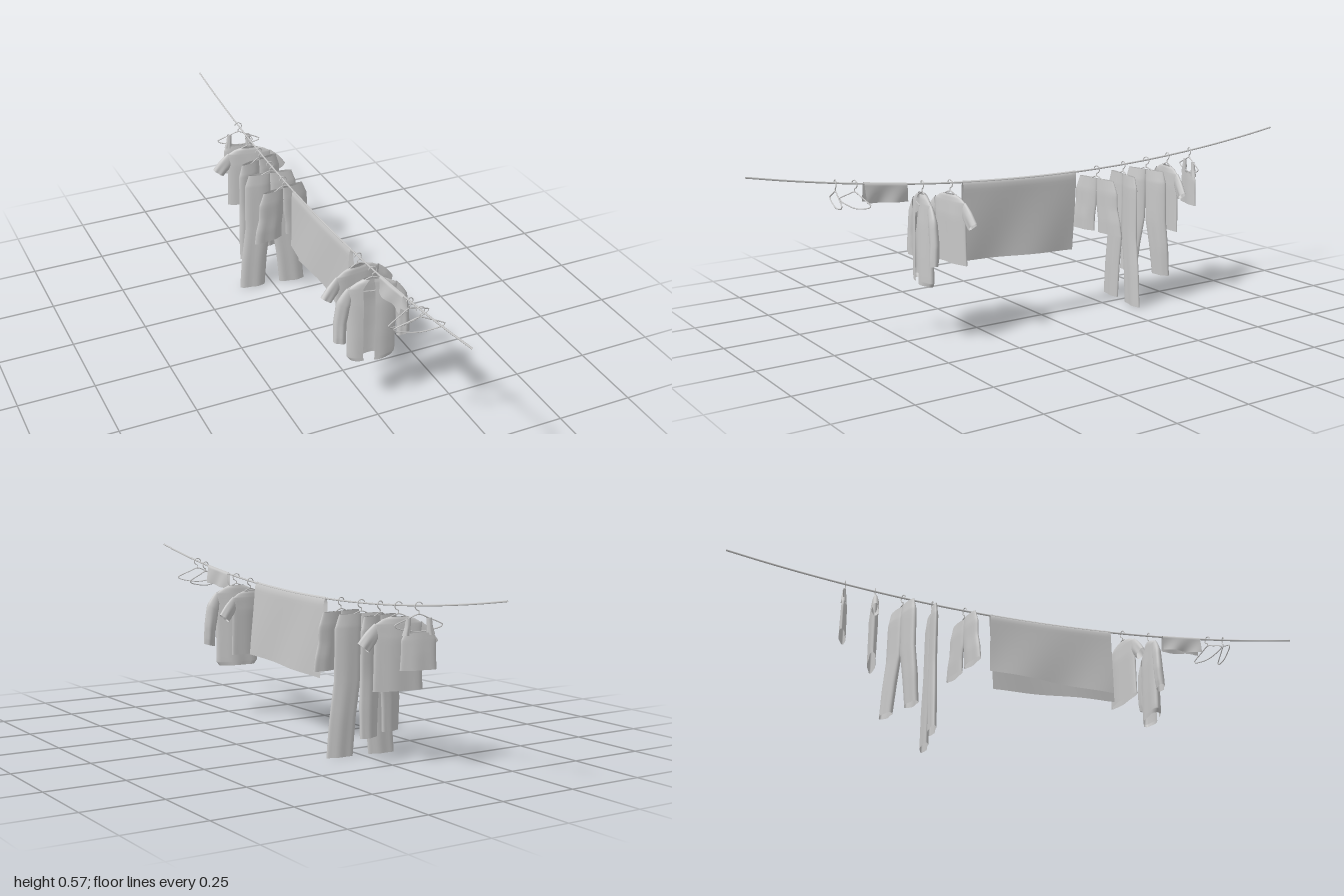
import * as THREE from 'three';

const fabric = new THREE.MeshStandardMaterial({ color: 0xc8c8c8 });
fabric.name = 'light grey';
fabric.side = THREE.DoubleSide;

// height of the sagging rope at z
const ropeY = z => 0.47 + 0.0175 * z + 0.0875 * z * z;

function mesh(name, geometry) {
  const m = new THREE.Mesh(geometry, fabric);
  m.name = name;
  return m;
}

// surface from a function of (row, column), optionally closed around the columns
function grid(rows, cols, closed, point) {
  const pos = [], index = [];
  const n = closed ? cols : cols + 1;
  for (let i = 0; i <= rows; i++)
    for (let j = 0; j < n; j++) pos.push(...point(i / rows, j / cols));
  for (let i = 0; i < rows; i++)
    for (let j = 0; j < cols; j++) {
      const k = (j + 1) % n, a = i * n + j, b = i * n + k, c = a + n, d = b + n;
      index.push(a, b, c, b, d, c);
    }
  const g = new THREE.BufferGeometry();
  g.setAttribute('position', new THREE.Float32BufferAttribute(pos, 3));
  g.setIndex(index);
  g.computeVertexNormals();
  return g;
}

// cloth tube through flat oval rings: [x, y, half width, half thickness, z, tilt]
function loft(name, rings, gap = null) {
  const [start, sweep] = gap || [0, Math.PI * 2];
  const sub = 4, rows = (rings.length - 1) * sub;
  return mesh(name, grid(rows, 28, !gap, (u, v) => {
    const s = u * (rings.length - 1), i = Math.min(Math.floor(s), rings.length - 2), f = s - i;
    const [x, y, w, t, z, tilt] = [0, 1, 2, 3, 4, 5].map(k =>
      THREE.MathUtils.lerp(rings[i][k] || 0, rings[i + 1][k] || 0, f));
    const a = start + v * sweep, c = Math.cos(a) * w;
    const fold = 1 + 0.15 * u * Math.sin(5 * a + 2);
    return [x + c * Math.cos(tilt), y + c * Math.sin(tilt), z + Math.sin(a) * t * fold];
  }));
}

const mirrorRings = rings => rings.map(([x, y, w, t, z = 0, tilt = 0]) => [-x, y, w, t, z, -tilt]);

function tube(name, points, radius, steps, closed = false) {
  const curve = new THREE.CatmullRomCurve3(points.map(p => new THREE.Vector3(...p)), closed, 'centripetal');
  return mesh(name, new THREE.TubeGeometry(curve, steps, radius, 6, closed));
}

// wire hanger, origin on the rope
function hanger() {
  const g = new THREE.Group();
  g.name = 'hanger';
  const half = [[0.03, -0.036], [0.066, -0.051], [0.074, -0.056], [0.069, -0.062], [0.035, -0.071]];
  const loop = [[0, -0.025, 0], ...half.map(([x, y]) => [x, y, 0]), [0, -0.075, 0],
    ...half.slice().reverse().map(([x, y]) => [-x, y, 0])];
  g.add(tube('hangerFrame', loop, 0.0019, 60, true));
  const hook = [[0, -0.025, 0], [0, -0.016, 0]];
  for (let i = 0; i <= 8; i++) {
    const a = -0.9 + i * 0.5;
    hook.push([0.012 * Math.cos(a), -0.002 + 0.012 * Math.sin(a), 0]);
  }
  g.add(tube('hangerHook', hook, 0.0017, 30));
  return g;
}

// group hung on the rope at z, turned by yaw
function hang(name, z, yaw, ...parts) {
  const g = new THREE.Group();
  g.name = name;
  g.position.set(0, ropeY(z), z);
  g.rotation.y = yaw;
  g.add(hanger(), ...parts);
  return g;
}

function tShirt(name, z, yaw, length) {
  const sleeve = [[0.07, -0.076, 0.026, 0.008, 0, 1.35], [0.092, -0.097, 0.024, 0.011, 0, 1.0],
    [0.111, -0.121, 0.022, 0.011, 0, 0.65]];
  const body = [[0, -0.034, 0.032, 0.007], [0, -0.04, 0.052, 0.009], [0, -0.055, 0.077, 0.011],
    [0, -0.1, 0.077, 0.014], [0, -0.17, 0.078, 0.013], [0, -length, 0.08, 0.012]];
  return hang(name, z, yaw, loft('shirtBody', body),
    loft('leftSleeve', sleeve), loft('rightSleeve', mirrorRings(sleeve)));
}

// two legs that meet on the centre line down to the crotch
function trousers(name, z, yaw, waist, hip, crotch, hem, hemX, hemW, thick, swing = 0) {
  const leg = [[waist / 2, -0.032, waist / 2, 0.007], [hip / 2, -0.075, hip / 2, thick],
    [hip / 2 + 0.002, -crotch, hip / 2, thick],
    [(hip / 2 + hemX) / 2 + 0.004, -(crotch + hem) / 2, (hip / 2 + hemW) / 2, thick * 1.1, swing / 2],
    [hemX, -hem, hemW, thick, swing]];
  const other = mirrorRings(leg).map(r => [r[0], r[1], r[2], r[3], -r[4], r[5]]);
  return hang(name, z, yaw, loft('leftLeg', leg), loft('rightLeg', other));
}

// cloth folded over the rope; drops give the lower edge at the +z and -z ends of each side
function drape(name, z0, z1, left, right, spread, shift) {
  return mesh(name, grid(24, 40, false, (u, v) => {
    const s = v * 2 - 1, d = Math.abs(s), side = Math.sign(s);
    const z = THREE.MathUtils.lerp(z0, z1, u) + (s > 0 ? shift * d : 0);
    const ends = s > 0 ? left : right;
    const low = THREE.MathUtils.lerp(ends[0], ends[1], u);
    const top = ropeY(z) + 0.005;
    const round = Math.min(1, d / 0.1);
    const x = side * (0.006 * Math.sqrt(1 - (1 - round) ** 2) + spread * d)
      + 0.005 * d * Math.sin(u * 9 + s * 2);
    return [x, THREE.MathUtils.lerp(top, low, d) - 0.003 * round * (1 - d), z];
  }));
}

export function createModel() {
  const model = new THREE.Group();
  model.name = 'clothesline';

  // rope
  const points = [];
  for (let i = 0; i <= 20; i++) points.push([0, ropeY(1 - i / 10), 1 - i / 10]);
  model.add(tube('rope', points, 0.003, 60));

  // empty hangers
  for (const [z, yaw] of [[0.727, -0.21], [0.665, 0.21]]) model.add(hang('emptyHanger', z, yaw));

  // cloths folded over the rope
  model.add(drape('handTowel', 0.635, 0.492, [0.458, 0.446], [0.46, 0.45], 0.003, -0.003));
  model.add(drape('bedSheet', 0.295, -0.135, [0.236, 0.212], [0.25, 0.265], 0.008, 0.018));

  // open long-sleeved shirt
  const sleeve = [[0.07, -0.078, 0.026, 0.009, 0, 1.3], [0.088, -0.11, 0.024, 0.013, 0, 0.5],
    [0.098, -0.17, 0.021, 0.014, 0, 0.1], [0.1, -0.215, 0.02, 0.014, 0.003, 0.15],
    [0.1, -0.238, 0.021, 0.012, 0.005, 0.25]];
  const body = [[0, -0.03, 0.028, 0.009], [0, -0.04, 0.05, 0.011], [0, -0.058, 0.079, 0.012],
    [0, -0.12, 0.077, 0.018], [0, -0.22, 0.076, 0.021], [0, -0.297, 0.076, 0.021],
    [0, -0.311, 0.066, 0.021]];
  model.add(hang('openShirt', 0.438, -0.16, loft('shirtBody', body, [1.96, 5.81]),
    loft('leftSleeve', sleeve), loft('rightSleeve', mirrorRings(sleeve))));

  // short-sleeved shirts
  model.add(tShirt('frontTShirt', 0.34, 0.12, 0.25));
  model.add(tShirt('backTShirt', -0.522, -0.2, 0.252));

  // shorts and trousers
  model.add(trousers('shorts', -0.222, 0.17, 0.076, 0.094, 0.125, 0.212, 0.062, 0.053, 0.011));
  model.add(trousers('longTrousers', -0.332, -0.12, 0.075, 0.09, 0.235, 0.47, 0.072, 0.045, 0.011));
  model.add(trousers('swingingTrousers', -0.43, 0.25, 0.072, 0.085, 0.2, 0.392, 0.062, 0.035, 0.014, -0.01));

  // sleeveless top
  const strap = [[0.032, -0.036, 0.008, 0.005], [0.034, -0.06, 0.009, 0.007], [0.038, -0.085, 0.013, 0.008]];
  const vest = [[0, -0.078, 0.044, 0.008], [0, -0.1, 0.054, 0.009], [0, -0.14, 0.054, 0.01],
    [0, -0.186, 0.057, 0.01]];
  model.add(hang('sleevelessTop', -0.62, -0.26, loft('vestBody', vest),
    loft('leftStrap', strap), loft('rightStrap', mirrorRings(strap))));

  return model;
}
